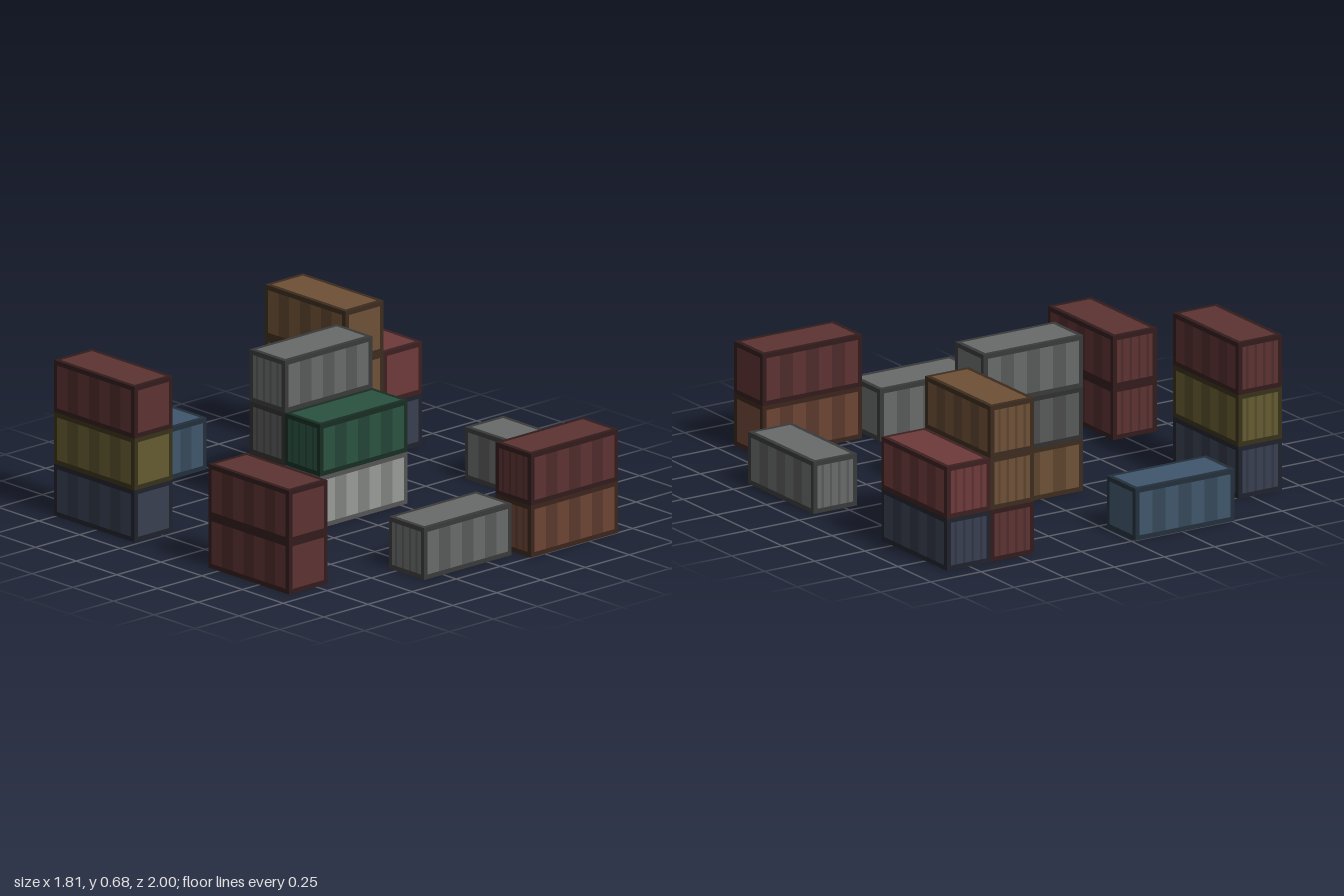
import * as THREE from 'three';
import { mergeGeometries } from 'three/addons/utils/BufferGeometryUtils.js';

const L = 0.495, W = 0.217, H = 0.227, RIM = 0.02;
const UP = new THREE.Vector3(0, 1, 0);

const RED = 0x5c3232, ROSE = 0x6e3a3a, BROWN = 0x6e5036, RUST = 0x6b4434, GREY = 0x686a69,
  SLATE = 0x585959, GREEN = 0x2a5240, PALE = 0x989a98, OLIVE = 0x645a30, NAVY = 0x383f50, BLUE = 0x3f566b;

// Stacks: centre x, centre z, long axis, colours from the ground up
const stacks = [
  [-0.265, -0.893, 'x', [BLUE]],
  [-0.795, -0.516, 'z', [NAVY, OLIVE, RED]],
  [-0.795, 0.434, 'z', [RED, RED]],
  [0.537, -0.664, 'z', [RED, BROWN, BROWN]],
  [0.754, -0.664, 'z', [NAVY, ROSE]],
  [0.04, -0.207, 'x', [BROWN, SLATE, GREY]],
  [0.04, 0.01, 'x', [PALE, GREEN]],
  [0.797, 0.283, 'z', [GREY]],
  [-0.111, 0.812, 'x', [GREY]],
  [0.42, 0.892, 'x', [RUST, RED]],
];

// Sheet surface with the base colour scaled by a shade
function paint(color, shade) {
  const c = new THREE.Color(color).convertLinearToSRGB().multiplyScalar(shade).convertSRGBToLinear();
  return new THREE.MeshStandardMaterial({ color: c, side: THREE.DoubleSide });
}

// Flat rectangle centred on (cx, cy) in the face's own plane
const rect = (w, h, cx, cy) => new THREE.PlaneGeometry(w, h).translate(cx, cy, 0);

// One face: dark rim, panel, and upright grooves given as [centre, width]
function face(w, h, grooves) {
  const iw = w - 2 * RIM, ih = h - 2 * RIM;
  const rim = [], panel = [], groove = [];
  for (const s of [-1, 1]) {
    rim.push(rect(w, RIM, 0, s * (h - RIM) / 2));
    rim.push(rect(RIM, ih, s * (w - RIM) / 2, 0));
  }
  let x = -iw / 2;
  for (const [c, gw] of grooves) {
    const a = c - gw / 2;
    panel.push(rect(a - x, ih, (a + x) / 2, 0));
    groove.push(rect(gw, ih, c, 0));
    x = c + gw / 2;
  }
  panel.push(rect(iw / 2 - x, ih, (iw / 2 + x) / 2, 0));
  return { rim, panel, groove };
}

// Wide ribs on the long sides, narrow door bars on one end
const sideRibs = [-1, 0, 1].map((i) => [i * 0.13, 0.065]);
const doorBars = [-1.5, -0.5, 0.5, 1.5].map((i) => [i * 0.042, 0.012]);

// Faces of a container lying along z: normal, width, height, grooves
const faces = [
  [[1, 0, 0], L, H, sideRibs],
  [[-1, 0, 0], L, H, sideRibs],
  [[0, 0, 1], W, H, []],
  [[0, 0, -1], W, H, doorBars],
  [[0, 1, 0], W, L, []],
];

// All containers as plain boxes, used to leave out touching walls
const boxes = stacks.flatMap(([x, z, axis, colors]) => colors.map((color, i) => {
  const centre = new THREE.Vector3(x, H * (i + 0.5), z);
  const size = axis === 'x' ? new THREE.Vector3(L, H, W) : new THREE.Vector3(W, H, L);
  return { axis, color, centre, box: new THREE.Box3().setFromCenterAndSize(centre, size) };
}));

function container(item) {
  const turn = item.axis === 'x' ? Math.PI / 2 : 0;
  const parts = { rim: [], panel: [], groove: [] };
  for (const [n, w, h, grooves] of faces) {
    const reach = (n[1] ? H : n[0] ? W : L) / 2;
    const probe = new THREE.Vector3(...n).multiplyScalar(reach + 0.02)
      .applyAxisAngle(UP, turn).add(item.centre);
    if (boxes.some((b) => b !== item && b.box.containsPoint(probe))) continue;
    const built = face(w, h, grooves);
    for (const key in built) {
      for (const g of built[key]) {
        g.translate(0, 0, reach);
        if (n[1]) g.rotateX(-Math.PI / 2);
        else g.rotateY(Math.atan2(n[0], n[2]));
        parts[key].push(g);
      }
    }
  }
  const group = new THREE.Group();
  group.name = 'container';
  const looks = { rim: ['edgeFrame', 0.55], panel: ['wallPanels', 1], groove: ['wallGrooves', 0.84] };
  for (const key in parts) {
    if (!parts[key].length) continue;
    const [name, shade] = looks[key];
    const mesh = new THREE.Mesh(mergeGeometries(parts[key]), paint(item.color, shade));
    mesh.name = name;
    group.add(mesh);
  }
  group.rotation.y = turn;
  group.position.copy(item.centre);
  return group;
}

export function createModel() {
  const model = new THREE.Group();
  model.name = 'containerYard';
  for (const item of boxes) model.add(container(item));
  return model;
}
